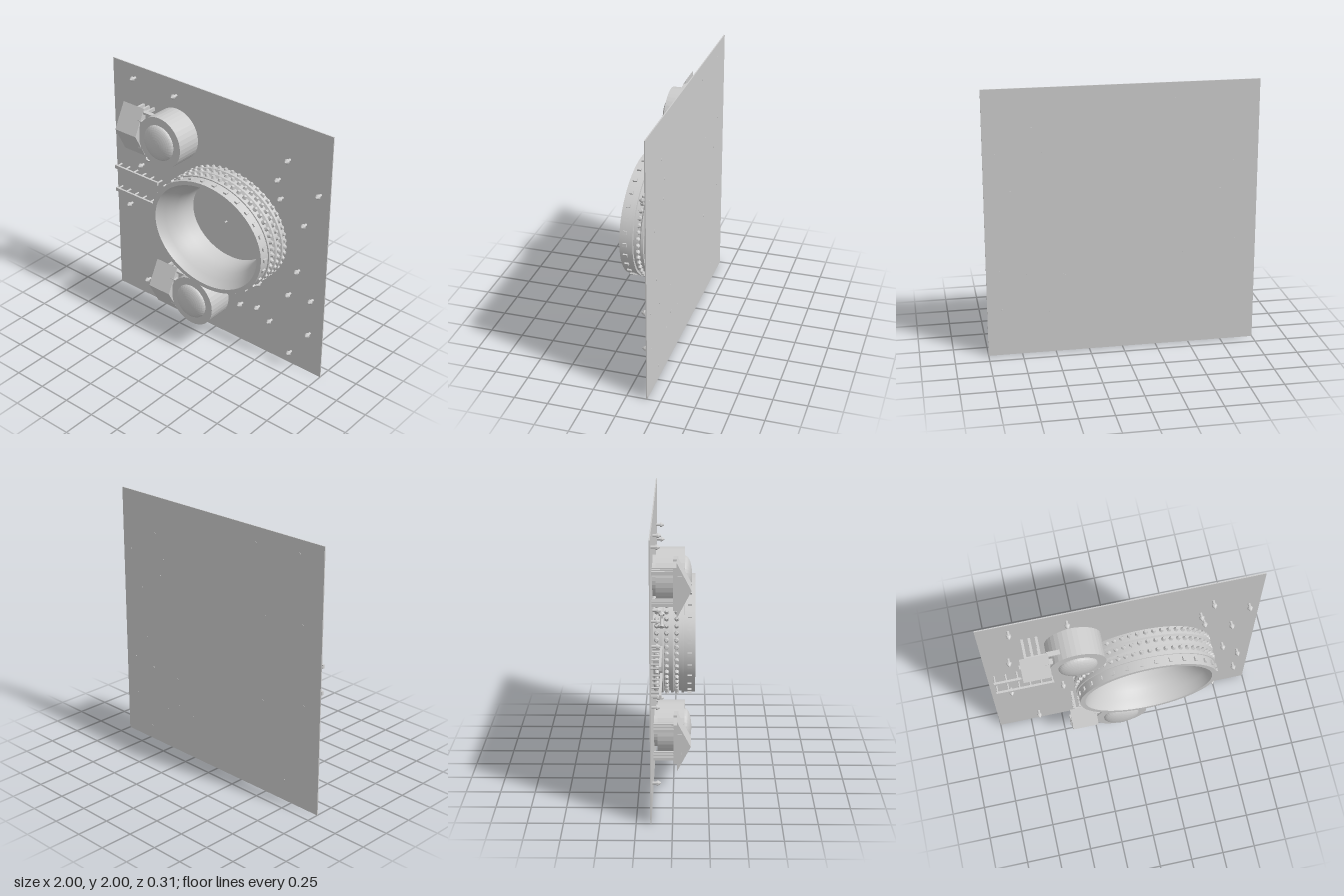
import * as THREE from 'three';
import { toCreasedNormals } from 'three/addons/utils/BufferGeometryUtils.js';

const flat = new THREE.MeshStandardMaterial({ color: 0xcccccc, flatShading: true });
const both = new THREE.MeshStandardMaterial({ color: 0xcccccc, side: THREE.DoubleSide });
const BACK = -0.145; // front surface of the panel

function add(parent, name, geometry, x = 0, y = 0, z = 0, material = flat) {
  const mesh = new THREE.Mesh(geometry, material);
  mesh.name = name;
  mesh.position.set(x, y, z);
  parent.add(mesh);
  return mesh;
}

// Box given by its limits on each axis
function block(parent, name, x0, x1, y0, y1, z0, z1) {
  return add(parent, name, new THREE.BoxGeometry(x1 - x0, y1 - y0, z1 - z0),
    (x0 + x1) / 2, (y0 + y1) / 2, (z0 + z1) / 2);
}

// Round part along z, r0 at the back and r1 at the front
function rod(parent, name, x, y, z0, z1, r0, r1 = r0, sides = 10) {
  const g = new THREE.CylinderGeometry(r1, r0, z1 - z0, sides).rotateX(Math.PI / 2);
  return add(parent, name, g, x, y, (z0 + z1) / 2);
}

// Bolt with a narrow shank and a pointed head
function createStud(x, y) {
  const stud = new THREE.Group();
  stud.name = 'stud';
  rod(stud, 'studShank', x, y, -0.155, -0.11, 0.01);
  rod(stud, 'studRim', x, y, -0.115, -0.105, 0.019);
  rod(stud, 'studTip', x, y, -0.105, -0.085, 0.019, 0.005);
  return stud;
}

// Drum with a domed lens and a wedge-shaped housing on its right side
function createLamp(x, y) {
  const lamp = new THREE.Group();
  lamp.name = 'lamp';
  lamp.position.set(x, y, 0);
  rod(lamp, 'lampMount', 0, 0, BACK, -0.12, 0.145, 0.145, 32);
  rod(lamp, 'lampDrum', 0, 0, -0.12, 0.08, 0.2, 0.2, 36);
  const dome = new THREE.SphereGeometry(0.138, 32, 10, 0, Math.PI * 2, 0, Math.PI / 2);
  add(lamp, 'lampDome', dome.rotateX(Math.PI / 2).scale(1, 1, 0.36), 0, 0, 0.08);

  // Housing: triangular section in z and y, swept along x
  const section = new THREE.Shape([[-0.025, -0.193], [-0.025, 0.193], [-0.125, 0]]
    .map(([a, b]) => new THREE.Vector2(a, b)));
  const wedge = new THREE.ExtrudeGeometry(section, { depth: 0.2, bevelEnabled: false });
  add(lamp, 'lampHousing', wedge.rotateY(Math.PI / 2), -0.39, 0, 0);
  block(lamp, 'housingSidePlate', -0.4, -0.39, -0.095, 0.1, 0.03, 0.06);
  block(lamp, 'housingBackPlate', -0.35, -0.2, -0.15, 0.15, 0, 0.025);

  // Bridge and arms to the drum, with legs back to the panel
  block(lamp, 'housingBridge', -0.22, -0.14, -0.12, 0.11, 0.03, 0.07);
  for (const s of [-1, 1]) {
    block(lamp, 'housingArm', -0.2, -0.1, s * 0.16 - 0.008, s * 0.16 + 0.008, 0.0, 0.035);
    for (const px of [-0.345, -0.295, -0.245])
      block(lamp, 'housingLeg', px - 0.009, px + 0.009, s * 0.11 - 0.012, s * 0.11 + 0.012, BACK, 0.005);
  }
  return lamp;
}

// Oval ring with a funnel mouth, raised ribs and rows of tread lugs
function createRing() {
  const ring = new THREE.Group();
  ring.name = 'ovalRing';
  ring.position.set(0.138, 1.015, 0);
  const RX = 0.525, RY = 0.445;
  const profile = [[0.69, BACK], [0.7, -0.04], [0.74, 0.03], [0.83, 0.09], [0.895, 0.14],
    [0.905, 0.155], [0.975, 0.155], [0.975, 0.075]];
  // each rib: up, across, and down again
  for (const z of [0.065, -0.013, -0.087])
    profile.push([0.993, z + 0.009], [0.993, z - 0.009], [0.955, z - 0.009], [0.955, z - 0.056]);
  profile.push([0.955, BACK]);
  const points = profile.map(([r, z]) => new THREE.Vector2(r, z));
  const body = new THREE.LatheGeometry(points, 72).rotateX(Math.PI / 2).scale(RX, RY, 1);
  add(ring, 'ringBody', toCreasedNormals(body, 0.5), 0, 0, 0, both);

  const lugRow = (name, geometry, count, z, frac) => {
    for (let i = 0; i < count; i++) {
      const a = (i / count) * Math.PI * 2;
      const lug = add(ring, name, geometry, RX * frac * Math.cos(a), RY * frac * Math.sin(a), z);
      // turn the lug's y axis to the oval's outward normal
      lug.rotation.z = Math.atan2(RX * Math.sin(a), RY * Math.cos(a)) - Math.PI / 2;
    }
  };
  const tooth = new THREE.CylinderGeometry(0.011, 0.02, 0.03, 8);
  for (const z of [0.022, -0.05, -0.12]) lugRow('treadLug', tooth, 54, z, 0.972);
  lugRow('frontLug', new THREE.BoxGeometry(0.025, 0.02, 0.03), 30, 0.115, 0.98);
  return ring;
}

// Short loose pin with two enlarged ends
function createPin() {
  const pin = new THREE.Group();
  pin.name = 'loosePin';
  add(pin, 'pinShaft', new THREE.CylinderGeometry(0.009, 0.009, 0.09, 8));
  for (const s of [-1, 1])
    add(pin, 'pinEnd', new THREE.CylinderGeometry(0.022, 0.022, 0.014, 8), 0, s * 0.045, 0);
  pin.position.set(-0.585, 1.335, -0.08);
  pin.rotation.z = -0.7;
  return pin;
}

export function createModel() {
  const model = new THREE.Group();
  model.name = 'wallPanel';
  block(model, 'panel', -1, 1, 0, 2, -0.153, BACK);
  model.add(createRing(), createLamp(-0.355, 1.59), createLamp(-0.055, 0.335), createPin());
  rod(model, 'centrePin', 0.1, 1.0, BACK, -0.12, 0.006);
  block(model, 'looseChip', -0.62, -0.59, 1.36, 1.385, -0.09, -0.07);

  // Two rails held off the panel by short posts
  for (const y of [0.915, 1.115]) {
    block(model, 'rail', -0.96, -0.525, y - 0.014, y + 0.014, -0.092, -0.075);
    for (let i = 0; i < 6; i++) rod(model, 'railPost', -0.95 + i * 0.083, y, BACK, -0.085, 0.007);
  }

  const studs = [[-0.78, 1.9], [-0.38, 1.88], [0.65, 1.71], [0.57, 1.53], [0.92, 1.53], [0.6, 1.39],
    [0.81, 1.25], [0.77, 0.85], [0.9, 0.65], [0.7, 0.62], [0.43, 0.6], [0.26, 0.34], [0.42, 0.38],
    [0.54, 0.31], [0.89, 0.35], [0.73, 0.11], [-0.68, 0.16], [-0.46, 0.72], [-0.85, 0.8],
    [-0.72, 1.19], [-0.47, 1.37], [-0.82, 1.4]];
  for (const [x, y] of studs) model.add(createStud(x, y));
  return model;
}
